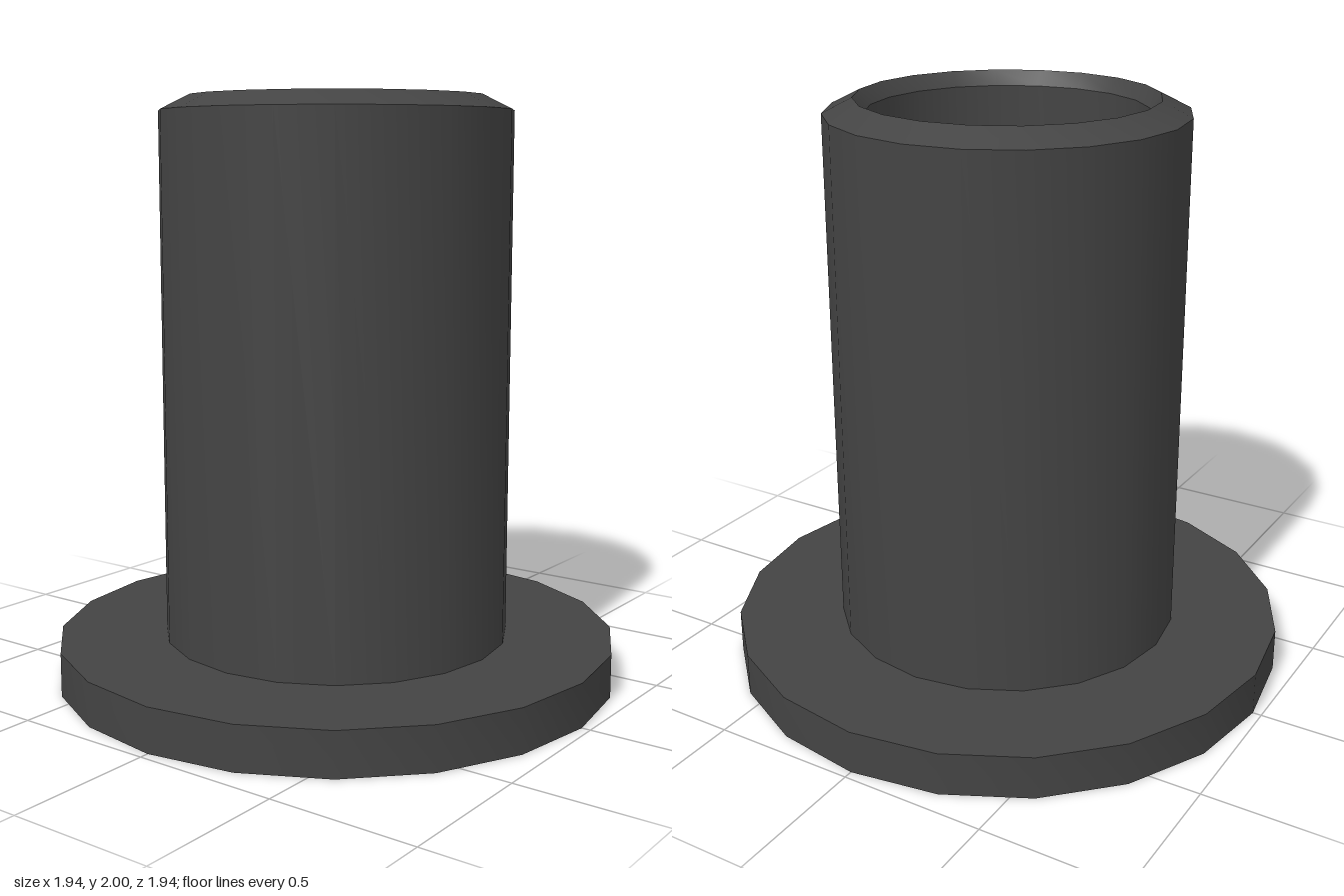
import * as THREE from 'three';
import { toCreasedNormals } from 'three/addons/utils/BufferGeometryUtils.js';

const SIDES = 20;

export function createModel() {
  const group = new THREE.Group();
  group.name = 'flangedBushing';
  const material = new THREE.MeshStandardMaterial({ color: 0x444444 });

  // Closed cross-section [radius, height]: underside, flange, sleeve, chamfered rim, bore
  const profile = [
    [0.465, 0], [0.97, 0], [0.97, 0.15], [0.6, 0.15],
    [0.6, 1.95], [0.5, 2], [0.465, 1.95], [0.465, 0],
  ].map(([r, y]) => new THREE.Vector2(r, y));

  // Smooth around the axis, sharp at the rims
  const geometry = toCreasedNormals(new THREE.LatheGeometry(profile, SIDES), 0.44);
  const bushing = new THREE.Mesh(geometry, material);
  bushing.name = 'sleeveWithFlange';
  group.add(bushing);

  return group;
}
